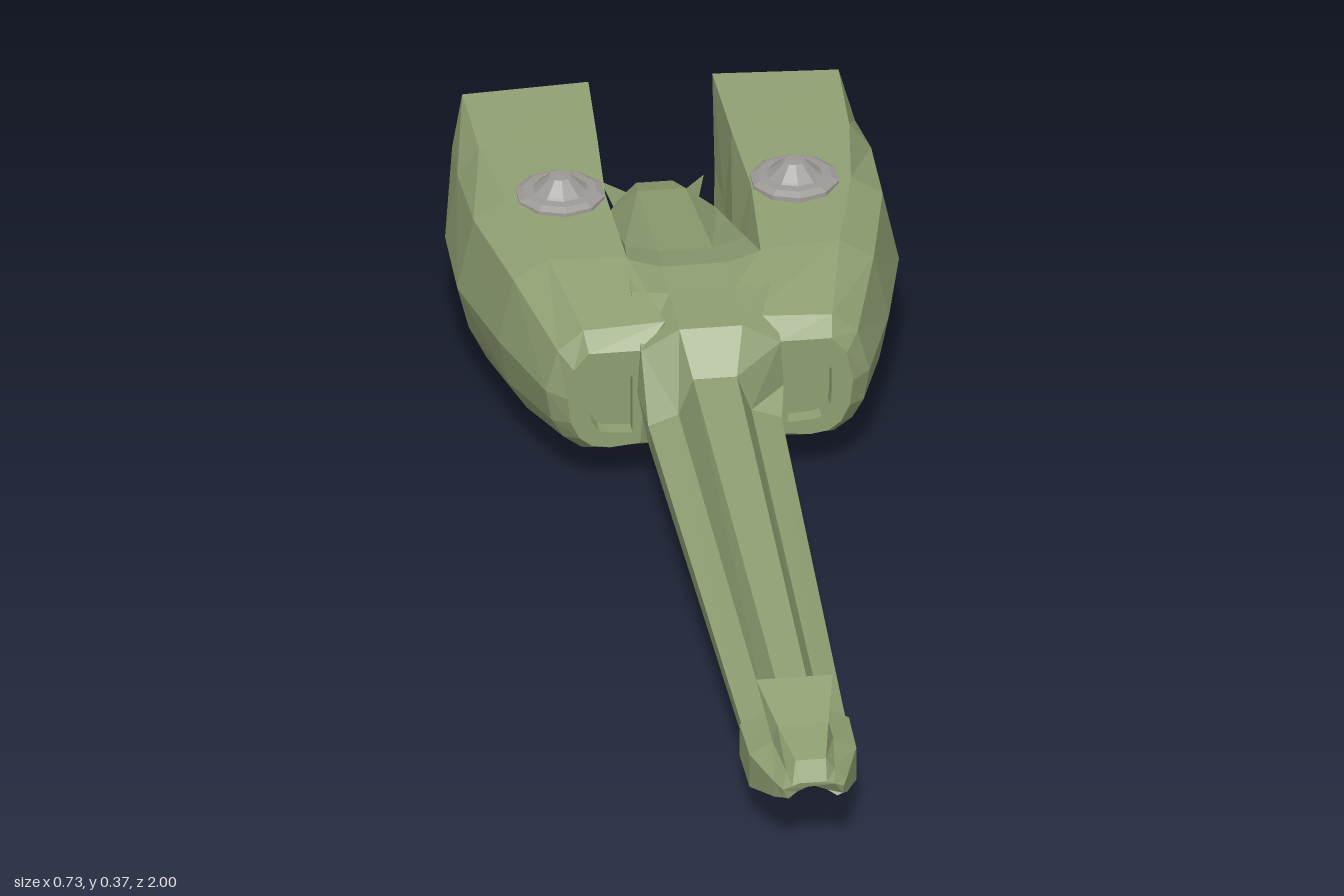
import * as THREE from 'three';
import { ConvexGeometry } from 'three/addons/geometries/ConvexGeometry.js';

const hull = new THREE.MeshStandardMaterial({ color: 0x8f9f72 });
hull.name = 'hull green';
const metal = new THREE.MeshStandardMaterial({ color: 0x9d9996 });
metal.name = 'warm grey';

// A ring of corners: xy is a flat list of x, y; z is one depth or one per corner
function ring(z, xy) {
  const pts = [];
  for (let i = 0; i < xy.length; i += 2) {
    pts.push(new THREE.Vector3(xy[i], xy[i + 1], Array.isArray(z) ? z[i / 2] : z));
  }
  return pts;
}

const flipX = p => new THREE.Vector3(-p.x, p.y, p.z);
const mirrorRing = r => r.map(flipX).reverse();

// Symmetric ring from a half profile that runs from the top to the centre of the underside
function fullRing(z, half) {
  const r = ring(z, half);
  return [...r, ...r.slice(0, -1).map(flipX).reverse()];
}

// Faceted skin through clockwise rings listed front to back, capped at both ends
function loft(rings) {
  const pos = [];
  const tri = (a, b, c) => pos.push(...a, ...b, ...c);
  for (let i = 0; i < rings.length - 1; i++) {
    const p = rings[i], q = rings[i + 1];
    p.forEach((a, j) => {
      const k = (j + 1) % p.length;
      tri(a, p[k], q[k]);
      tri(a, q[k], q[j]);
    });
  }
  const cap = (r, facing) => {
    const flat = r.map(p => new THREE.Vector2(p.x, p.y));
    for (const [i, j, k] of THREE.ShapeUtils.triangulateShape(flat, [])) {
      const [a, b, c] = [r[i], r[j], r[k]];
      const area = (b.x - a.x) * (c.y - a.y) - (b.y - a.y) * (c.x - a.x);
      if (area * facing > 0) tri(a, b, c); else tri(a, c, b);
    }
  };
  cap(rings[0], 1);
  cap(rings[rings.length - 1], -1);
  const g = new THREE.BufferGeometry();
  g.setAttribute('position', new THREE.Float32BufferAttribute(pos, 3));
  g.computeVertexNormals();
  return g;
}

export function createModel() {
  const model = new THREE.Group();
  const add = (name, geometry, material, parent = model) => {
    const m = new THREE.Mesh(geometry, material);
    m.name = name;
    parent.add(m);
    return m;
  };

  // Engine pods: recessed front intake, swelling body, overhanging rear with square exhaust
  const intake = [.128, .21, .175, .212, .19, .209, .2, .2, .2, .15, .197, .132,
    .183, .112, .17, .108, .128, .105, .128, .16];
  const exhaust = [.135, .265, .285, .265, .288, .24, .285, .18, .28, .13, .275, .095,
    .24, .092, .2, .092, .15, .095, .14, .18];
  const rearZ = [-.988, -.988, -.948, -.945, -.937, -.922, -.9, -.9, -.91, -.945];
  const exhaustZ = [-.95, -.95, -.947, -.945, -.938, -.928, -.928, -.928, -.928, -.943];
  const podRings = [
    ring(-.285, intake),
    ring(-.257, intake),
    ring(-.257, [.11, .257, .2, .257, .225, .228, .235, .175, .23, .13, .215, .1,
      .195, .085, .165, .08, .115, .085, .11, .17]),
    ring(-.29, [.07, .29, .205, .283, .247, .248, .267, .175, .257, .12, .238, .088,
      .208, .066, .17, .064, .08, .065, .07, .18]),
    ring(-.46, [.11, .318, .24, .325, .297, .29, .322, .178, .306, .1, .275, .05,
      .245, .022, .2, .024, .07, .05, .08, .2]),
    ring(-.65, [.12, .332, .285, .333, .337, .3, .364, .175, .345, .1, .315, .04,
      .275, .006, .24, .006, .07, .044, .09, .2]),
    ring(-.82, [.11, .341, .305, .338, .341, .29, .361, .175, .343, .1, .315, .04,
      .275, 0, .245, 0, .08, .04, .1, .2]),
    ring(rearZ, [.102, .353, .31, .345, .332, .27, .337, .175, .325, .1, .305, .05,
      .27, .025, .235, .025, .12, .06, .1, .2]),
    ring(exhaustZ, exhaust),
    ring(exhaustZ.map(z => z + .03), exhaust),
  ];
  add('leftEnginePod', loft(podRings), hull);
  add('rightEnginePod', loft(podRings.map(mirrorRing)), hull);

  // Centre body: bridge between the pods, falling to a low spine at the back
  add('centreBody', loft([
    fullRing(-.2, [.036, .229, .06, .165, .11, .147, .106, .1, .06, .096, .035, .106, 0, .12]),
    fullRing(-.25, [.052, .296, .115, .26, .12, .18, .1, .075, .065, .07, .038, .1, 0, .12]),
    fullRing(-.37, [.052, .296, .115, .305, .12, .18, .1, .07, .068, .065, .038, .1, 0, .12]),
    fullRing(-.46, [.055, .297, .11, .315, .11, .18, .1, .065, .07, .06, .038, .1, 0, .12]),
    fullRing(-.56, [.045, .27, .1, .285, .1, .18, .09, .07, .07, .06, .038, .1, 0, .12]),
    fullRing(-.85, [.04, .22, .09, .18, .095, .15, .085, .08, .06, .08, .036, .1, 0, .12]),
    fullRing(-.94, [.03, .185, .055, .16, .06, .135, .058, .1, .05, .098, .035, .106, 0, .12]),
  ]), hull);

  // Long tapering neck with a raised top ridge and a channel below
  add('neck', loft([
    fullRing(.78, [.025, .18, .045, .135, .085, .118, .082, .087, .055, .085, .033, .102, 0, .118]),
    fullRing(-.21, [.036, .229, .06, .165, .11, .147, .106, .1, .06, .096, .035, .106, 0, .12]),
  ]), hull);

  // Head: flared crest, cheeks that hang below the neck, notched muzzle
  add('head', loft([
    fullRing([1, 1, .997, .992, .992, .985, .98],
      [.022, .14, .035, .135, .05, .128, .05, .112, .04, .108, .025, .116, 0, .124]),
    fullRing(.965, [.025, .163, .04, .143, .06, .126, .06, .098, .042, .094, .03, .108, 0, .122]),
    fullRing(.87, [.042, .178, .05, .148, .088, .126, .088, .066, .05, .064, .035, .1, 0, .12]),
    fullRing(.765, [.063, .206, .045, .148, .09, .124, .09, .066, .05, .064, .035, .1, 0, .12]),
  ]), hull);

  // Tail fins: four pointed blades splayed around the end of the spine
  for (const side of [-1, 1]) {
    const blade = pts => new ConvexGeometry(pts.map(p => new THREE.Vector3(p[0] * side, p[1], p[2])));
    const label = side > 0 ? 'left' : 'right';
    add(label + 'UpperTailFin', blade([
      [.03, .155, -.88], [.055, .13, -.88], [.04, .185, -.9], [.085, .178, -.965], [.055, .14, -.96],
    ]), hull);
    add(label + 'LowerTailFin', blade([
      [.035, .135, -.88], [.065, .12, -.88], [.05, .08, -.9], [.055, .12, -.96], [.07, .066, -1],
    ]), hull);
  }

  // Stepped round hatch on top of each pod
  const profile = [[.07, .312], [.075, .323], [.074, .336], [.062, .342], [.046, .343],
    [.042, .346], [.018, .367], [0, .368]];
  const hatch = new THREE.LatheGeometry(profile.map(p => new THREE.Vector2(...p)), 10).toNonIndexed();
  hatch.computeVertexNormals();
  for (const side of [-1, 1]) {
    add(side > 0 ? 'leftHatch' : 'rightHatch', hatch, metal).position.set(.193 * side, 0, -.66);
  }

  return model;
}
